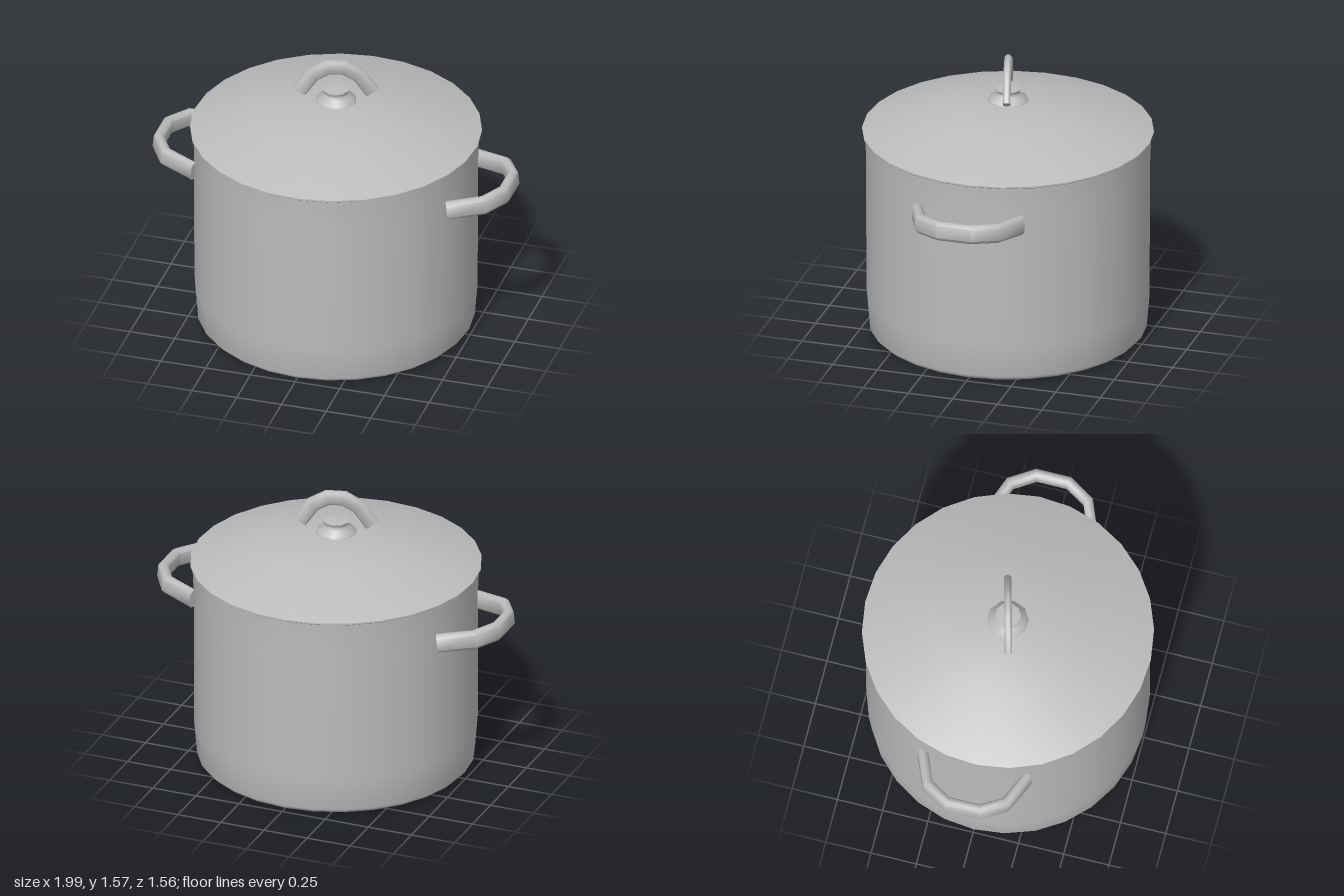
import * as THREE from 'three';
import { toCreasedNormals } from 'three/addons/utils/BufferGeometryUtils.js';

const steel = new THREE.MeshStandardMaterial({ color: 0xbcbcbc });
steel.name = 'brushed steel';

function part(name, geometry) {
  const mesh = new THREE.Mesh(geometry, steel);
  mesh.name = name;
  return mesh;
}

function lathe(profile, sides) {
  return new THREE.LatheGeometry(profile.map(([r, y]) => new THREE.Vector2(r, y)), sides);
}

// Sweep a chamfered bar along a flat path in the xy plane.
// a: half thickness across the path, b: half depth along z, c: chamfer
function bar(path, a, b, c) {
  const pts = path.map(([x, y]) => new THREE.Vector2(x, y));
  const section = [
    [a, c - b], [a, b - c], [a - c, b], [c - a, b],
    [-a, b - c], [-a, c - b], [c - a, -b], [a - c, -b],
  ];
  const n = section.length;
  const pos = [];
  const idx = [];
  pts.forEach((p, i) => {
    const before = p.clone().sub(pts[Math.max(i - 1, 0)]).normalize();
    const after = pts[Math.min(i + 1, pts.length - 1)].clone().sub(p).normalize();
    const dir = before.clone().add(after).normalize();
    const miter = dir.dot(i ? before : after);
    for (const [u, v] of section) {
      pos.push(p.x - dir.y * u / miter, p.y + dir.x * u / miter, v);
    }
  });
  const last = (pts.length - 1) * n;
  for (let j = 0; j < n; j++) {
    const k = (j + 1) % n;
    for (let i = 0; i < last; i += n) {
      idx.push(i + j, i + k, i + n + j, i + k, i + n + k, i + n + j);
    }
    // end caps
    if (j > 0 && j < n - 1) idx.push(0, k, j, last, last + j, last + k);
  }
  const g = new THREE.BufferGeometry();
  g.setAttribute('position', new THREE.Float32BufferAttribute(pos, 3));
  g.setIndex(idx);
  return toCreasedNormals(g, 0.9);
}

export function createModel() {
  const model = new THREE.Group();
  model.name = 'cookingPot';

  // Pot body with a slightly domed base
  model.add(part('potBody', lathe([
    [0, 0], [0.42, 0.004], [0.72, 0.009], [0.745, 0.035],
    [0.76, 0.22], [0.762, 0.98], [0.77, 1.15],
  ], 28)));

  // Side handles, tilted slightly up and outwards
  for (const [name, turn] of [['leftHandle', 0], ['rightHandle', Math.PI]]) {
    const g = bar([
      [0.71, -0.29], [0.895, -0.215], [0.972, -0.09],
      [0.972, 0.09], [0.895, 0.215], [0.71, 0.29],
    ], 0.027, 0.051, 0.017);
    g.rotateX(-Math.PI / 2).rotateZ(0.11).translate(0, 0.85, 0).rotateY(turn);
    model.add(part(name, g));
  }

  // Lid, turned a little on the pot together with its knob and grip
  const lid = new THREE.Group();
  lid.name = 'lid';
  lid.rotation.y = 0.262;
  lid.add(part('lidDome', toCreasedNormals(lathe([
    [0, 1.145], [0.775, 1.145], [0.782, 1.15], [0.782, 1.158],
    [0.41, 1.285], [0, 1.328],
  ], 28), 0.6)));
  lid.add(part('knobBase', toCreasedNormals(lathe([
    [0, 1.33], [0.112, 1.33], [0.108, 1.342], [0.07, 1.363],
    [0.062, 1.378], [0.07, 1.397], [0, 1.402],
  ], 10), 0.9)));
  lid.add(part('lidGrip', bar([
    [-0.195, 1.385], [-0.124, 1.486], [-0.045, 1.53],
    [0.045, 1.53], [0.124, 1.486], [0.195, 1.385],
  ], 0.04, 0.02, 0.012)));
  model.add(lid);

  return model;
}
